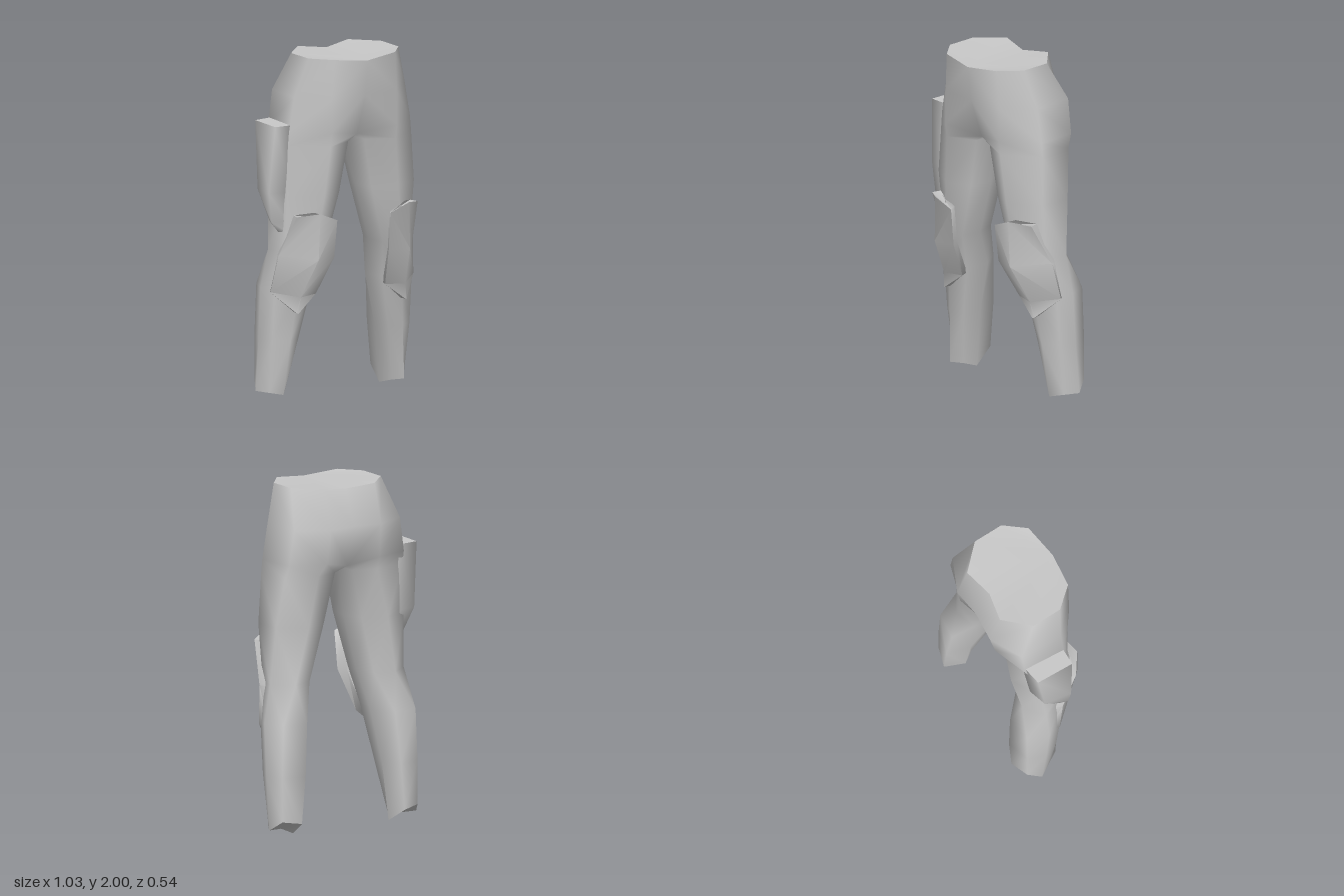
import * as THREE from 'three';
import { toCreasedNormals } from 'three/addons/utils/BufferGeometryUtils.js';

// Skin stacked rings (top to bottom, each counter-clockwise from above) and cap both ends.
// side = -1 mirrors across x = 0; rings above openUntil are left open at the midline.
function loft(rings, { side = 1, openUntil = 0 } = {}) {
  const pos = [], idx = [];
  const addRing = (ring) => {
    const first = pos.length / 3;
    ring.forEach(([x, y, z]) => pos.push(side * x, y, z));
    return first;
  };
  const tri = (a, b, c) => (side > 0 ? idx.push(a, b, c) : idx.push(a, c, b));
  const start = rings.map(addRing);
  for (let i = 0; i < rings.length - 1; i++) {
    const n = rings[i].length;
    const steps = i < openUntil ? 5 : n;
    for (let j = 0; j < steps; j++) {
      const k = (j + 1) % n;
      const a = start[i] + j, b = start[i] + k, c = start[i + 1] + j, d = start[i + 1] + k;
      tri(a, c, d);
      tri(a, d, b);
    }
  }
  // Caps have their own corners so their rims stay sharp
  const topRing = rings[0], endRing = rings[rings.length - 1];
  const top = addRing(topRing), end = addRing(endRing);
  for (let j = 1; j < topRing.length - 1; j++) tri(top, top + j, top + j + 1);
  for (let j = 1; j < endRing.length - 1; j++) tri(end, end + j + 1, end + j);
  const geo = new THREE.BufferGeometry();
  geo.setAttribute('position', new THREE.Float32BufferAttribute(pos, 3));
  geo.setIndex(idx);
  geo.computeVertexNormals();
  return geo;
}

// Keep shading continuous where the two trouser halves meet
function smoothSeam(geo) {
  const p = geo.attributes.position, nr = geo.attributes.normal, v = new THREE.Vector3();
  for (let i = 0; i < p.count; i++) {
    if (Math.abs(p.getX(i)) > 1e-5) continue;
    v.fromBufferAttribute(nr, i).setX(0).normalize();
    nr.setXYZ(i, v.x, v.y, v.z);
  }
  return geo;
}

// Horizontal ring at height y; points on the midline drop by dip
const level = (y, pts, dip = 0) => pts.map(([x, z]) => [x, x === 0 ? y - dip : y, z]);

// Hip half: waist, seat, crotch
const hipRings = [
  level(1.995, [[0, 0.27], [0.205, 0.24], [0.305, 0.12], [0.305, -0.06], [0.17, -0.2], [0, -0.16]], 0.02),
  level(1.77, [[0, 0.245], [0.22, 0.235], [0.375, 0.08], [0.36, -0.175], [0.17, -0.268], [0, -0.25]]),
  level(1.57, [[0, 0.16], [0.22, 0.235], [0.41, 0.08], [0.39, -0.17], [0.18, -0.24], [0, -0.18], [0, 0]], 0.04),
];

// Leg: upper thigh, thigh, knee, calf, shin, slanted ankle
const legRings = [
  level(1.49, [[0.055, 0.15], [0.22, 0.225], [0.417, 0.08], [0.4, -0.14], [0.2, -0.185], [0.06, -0.14], [0.05, 0]]),
  level(1.2, [[0.11, 0.14], [0.25, 0.205], [0.43, 0.09], [0.435, -0.1], [0.27, -0.19], [0.13, -0.13], [0.09, 0]]),
  level(0.87, [[0.2, 0.12], [0.3, 0.175], [0.42, 0.06], [0.455, -0.07], [0.34, -0.16], [0.22, -0.12], [0.18, 0]]),
  level(0.65, [[0.24, 0.05], [0.35, 0.085], [0.465, 0.015], [0.5, -0.08], [0.45, -0.2], [0.3, -0.217], [0.215, -0.09]]),
  level(0.35, [[0.305, 0.015], [0.38, 0.05], [0.465, -0.01], [0.5, -0.1], [0.46, -0.205], [0.325, -0.24], [0.285, -0.1]]),
  [[0.365, 0.02, -0.045], [0.41, 0.033, 0.02], [0.455, 0.036, -0.055], [0.5, 0.04, -0.13],
    [0.46, 0.095, -0.205], [0.35, 0.08, -0.24], [0.325, 0, -0.11]],
];

// Knee pad rows: inner edge, ridge, outer edge; the back follows the front
const padRings = [
  [[0.18, 1.06, 0.23], [0.3, 1.11, 0.24], [0.41, 1.09, 0.16]],
  [[0.185, 0.84, 0.205], [0.31, 0.84, 0.235], [0.455, 0.85, 0.04]],
  [[0.235, 0.615, 0.09], [0.355, 0.61, 0.117], [0.485, 0.635, 0]],
  [[0.355, 0.52, 0.1], [0.365, 0.515, 0.11], [0.375, 0.52, 0.1]],
].map((front) => {
  const back = front.map(([x, y, z]) => [x + (0.33 - x) * 0.2, y, z - 0.055]).reverse();
  return [...front, ...back];
});

// Thigh pouch: outer front, inner front, inner back, outer back
const pouchRings = [
  level(1.61, [[-0.49, 0.075], [-0.36, 0.08], [-0.34, -0.17], [-0.48, -0.15]]),
  level(1.22, [[-0.517, 0.05], [-0.38, 0.08], [-0.38, -0.14], [-0.49, -0.11]]),
  level(1.05, [[-0.495, 0.045], [-0.4, 0.06], [-0.4, -0.01], [-0.48, 0]]),
  level(0.99, [[-0.45, 0.045], [-0.4, 0.05], [-0.4, 0.02], [-0.44, 0.025]]),
];

export function createModel() {
  const group = new THREE.Group();
  const grey = new THREE.MeshStandardMaterial({ color: 0xc8c8c8 });
  grey.name = 'cloth grey';
  const add = (name, geo, x = 0) => {
    const mesh = new THREE.Mesh(geo, grey);
    mesh.name = name;
    mesh.position.x = x;
    group.add(mesh);
  };
  for (const [side, label] of [[1, 'left'], [-1, 'right']]) {
    const half = loft([...hipRings, ...legRings], { side, openUntil: 2 });
    add(label + 'TrouserHalf', smoothSeam(half), 0.01);
    add(label + 'KneePad', toCreasedNormals(loft(padRings, { side }), 1.1), 0.01);
  }
  add('thighPouch', loft(pouchRings));
  return group;
}
